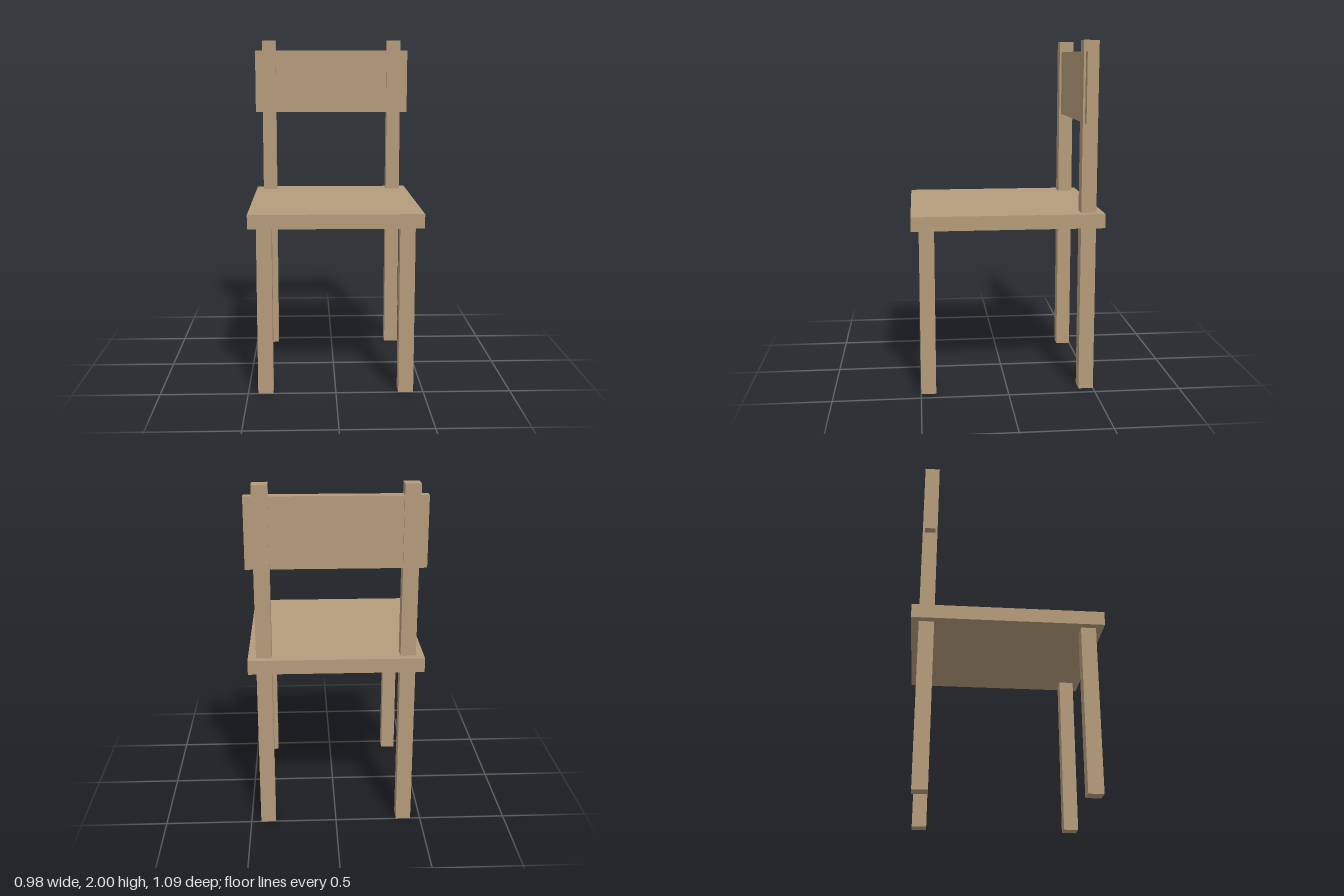
import * as THREE from 'three';

export function createModel() {
  const chair = new THREE.Group();
  chair.name = 'chair';
  const wood = new THREE.MeshStandardMaterial({ color: 0xb59b7b });

  // Box spanning y0..y1, centred on x and z
  function board(name, width, depth, y0, y1, x = 0, z = 0) {
    const mesh = new THREE.Mesh(new THREE.BoxGeometry(width, y1 - y0, depth), wood);
    mesh.name = name;
    mesh.position.set(x, (y0 + y1) / 2, z);
    chair.add(mesh);
  }

  const width = 0.977;
  const post = 0.086;
  const seatBottom = 0.962;

  board('seat', width, 1.086, seatBottom, 1.043);

  // Short front legs; back legs run up through the seat as back posts
  for (const [side, x] of [['left', 0.4], ['right', -0.4]]) {
    board(`${side}FrontLeg`, post, post, 0, seatBottom, x, 0.457);
    board(`${side}BackPost`, post, post, 0, 2, x, -0.457);
  }

  // Wide panel passing through both back posts
  board('backrest', width, 0.062, 1.545, 1.937, 0, -0.457);

  return chair;
}
